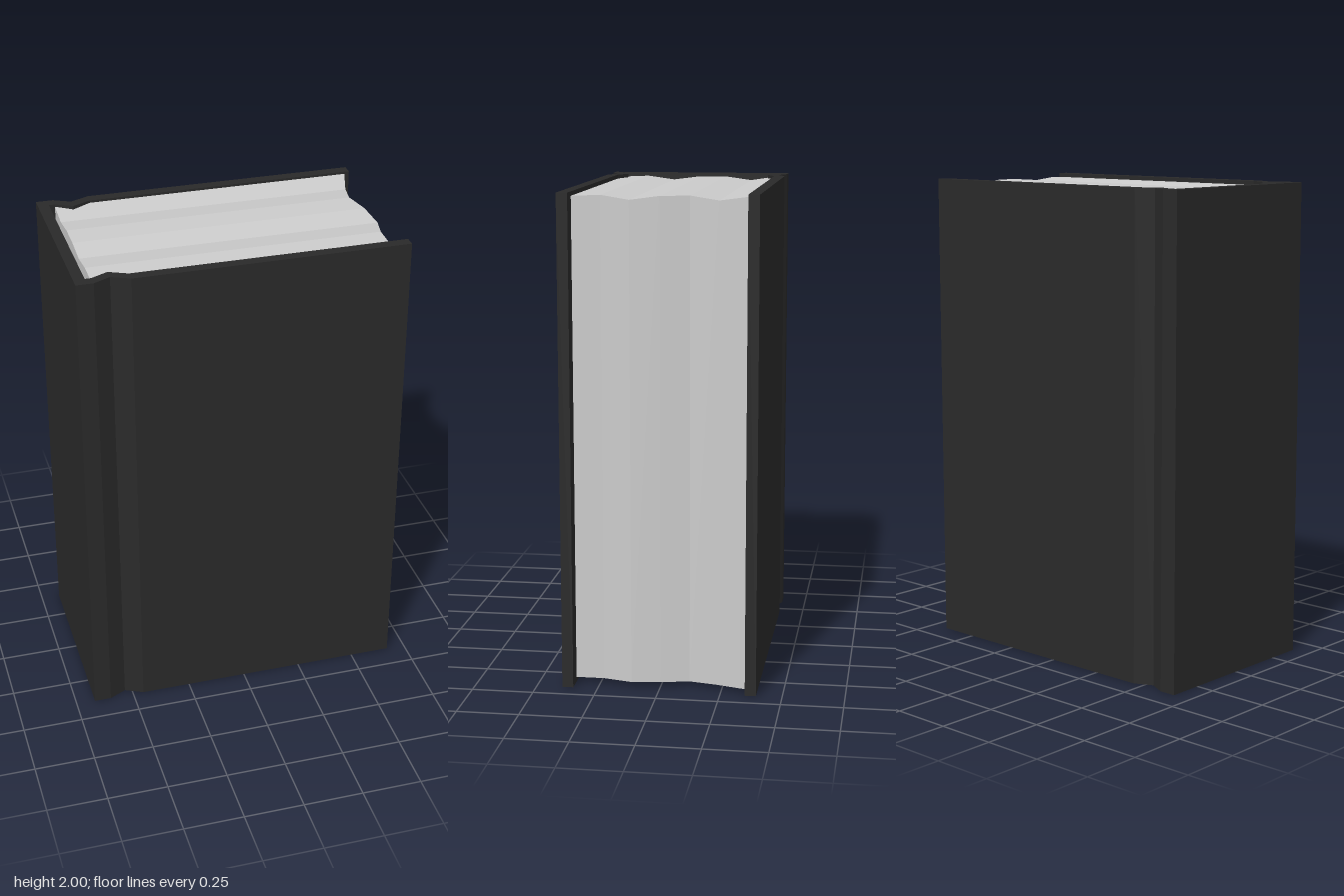
import * as THREE from 'three';

const coverMaterial = new THREE.MeshStandardMaterial({ color: 0x2a2a2a });
const pageMaterial = new THREE.MeshStandardMaterial({ color: 0xcccccc, flatShading: true });

// Hardback cover: C-shaped section with a hinge groove in each board
function makeCover() {
  const thick = 0.045, z = 0.395, back = -0.67, front = 0.67;
  const board = [[-0.6, 0], [-0.53, 0.035], [-0.455, 0], [front, 0]]; // [x, groove depth]
  const outer = [[back, z], ...board.map(([x, d]) => [x, z - d])];
  const inner = [...board].reverse().map(([x, d]) => [x, z - thick - d]);
  const half = [...outer, ...inner, [back + thick, z - thick]];
  const mirrored = [...half].reverse().map(([x, y]) => [x, -y]);
  const shape = new THREE.Shape([...half, ...mirrored].map(p => new THREE.Vector2(...p)));
  const geometry = new THREE.ExtrudeGeometry(shape, { depth: 2, bevelEnabled: false });
  geometry.rotateX(-Math.PI / 2);
  const mesh = new THREE.Mesh(geometry, coverMaterial);
  mesh.name = 'cover';
  return mesh;
}

// Page block: a box in six strips, with uneven top and fore-edge
function makePages() {
  const foreEdge = [0.65, 0.615, 0.59, 0.615, 0.63, 0.6, 0.6]; // from back to front
  const topEdge = [1.99, 1.972, 1.988, 1.987, 1.972, 1.988, 1.983];
  const geometry = new THREE.BoxGeometry(1, 1, 1, 1, 1, 6);
  const p = geometry.attributes.position;
  for (let i = 0; i < p.count; i++) {
    const k = Math.round((p.getZ(i) + 0.5) * 6);
    p.setXYZ(i,
      p.getX(i) > 0 ? foreEdge[k] : -0.6,
      p.getY(i) > 0 ? topEdge[k] : 0.02,
      p.getZ(i) * 0.7);
  }
  geometry.computeVertexNormals();
  const mesh = new THREE.Mesh(geometry, pageMaterial);
  mesh.name = 'pages';
  return mesh;
}

// Lining strip that joins the pages to the spine
function makeLining() {
  const mesh = new THREE.Mesh(new THREE.BoxGeometry(0.025, 1.8, 0.5), pageMaterial);
  mesh.position.set(-0.6125, 1, 0);
  mesh.name = 'spineLining';
  return mesh;
}

export function createModel() {
  const book = new THREE.Group();
  book.name = 'book';
  book.add(makeCover(), makePages(), makeLining());
  return book;
}
